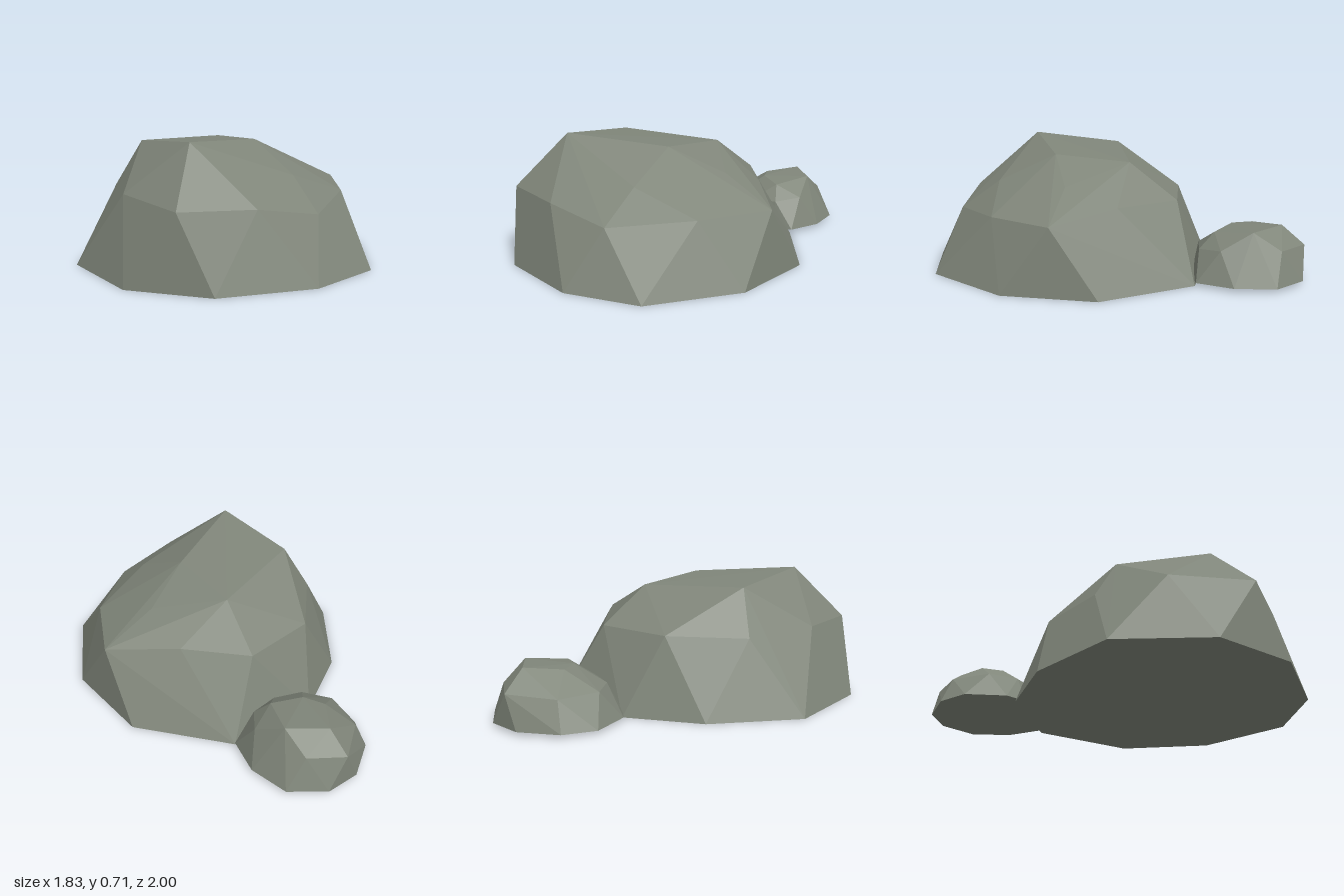
import * as THREE from 'three';
import { ConvexGeometry } from 'three/addons/geometries/ConvexGeometry.js';

const stone = new THREE.MeshStandardMaterial({ color: 0x80867a, flatShading: true });

// A faceted boulder: a flat base outline [x, z] plus the corner points [x, y, z] above it
function boulder(name, baseY, base, corners) {
  const points = [
    ...base.map(([x, z]) => new THREE.Vector3(x, baseY, z)),
    ...corners.map((p) => new THREE.Vector3(...p)),
  ];
  const mesh = new THREE.Mesh(new ConvexGeometry(points), stone);
  mesh.name = name;
  return mesh;
}

export function createModel() {
  const group = new THREE.Group();
  group.name = 'rocks';

  group.add(boulder('largeRock', 0,
    [[-0.23, 1], [0.25, 1], [0.7, 0.7], [0.91, 0.3], [0.77, -0.24],
      [0.38, -0.61], [-0.21, -0.67], [-0.6, -0.31], [-0.72, 0.13], [-0.65, 0.66]],
    [
      // shoulder
      [0.05, 0.41, 0.99], [0.4, 0.4, 0.77], [0.65, 0.33, 0.48], [0.69, 0.37, 0],
      [0.56, 0.38, -0.41], [0.13, 0.43, -0.41], [-0.27, 0.43, -0.42],
      [-0.54, 0.43, -0.08], [-0.53, 0.41, 0.37], [-0.33, 0.43, 0.74],
      // crown
      [0.02, 0.71, 0.69], [0.48, 0.5, 0.32], [0.33, 0.53, -0.19],
      [0.21, 0.66, 0.12], [-0.1, 0.63, -0.19], [-0.38, 0.66, 0.35],
    ]));

  group.add(boulder('smallRock', 0.02,
    [[-0.51, -1], [-0.32, -0.87], [-0.21, -0.68], [-0.28, -0.55], [-0.53, -0.31],
      [-0.66, -0.3], [-0.86, -0.42], [-0.92, -0.6], [-0.87, -0.83], [-0.73, -0.97]],
    [
      // shoulder
      [-0.81, 0.2, -0.89], [-0.6, 0.2, -0.93], [-0.32, 0.2, -0.75], [-0.3, 0.18, -0.59],
      [-0.4, 0.18, -0.46], [-0.55, 0.18, -0.39], [-0.72, 0.18, -0.42], [-0.85, 0.18, -0.62],
      // crown
      [-0.71, 0.31, -0.81], [-0.48, 0.3, -0.83], [-0.39, 0.27, -0.61],
      [-0.56, 0.29, -0.56], [-0.68, 0.29, -0.6],
    ]));

  return group;
}
